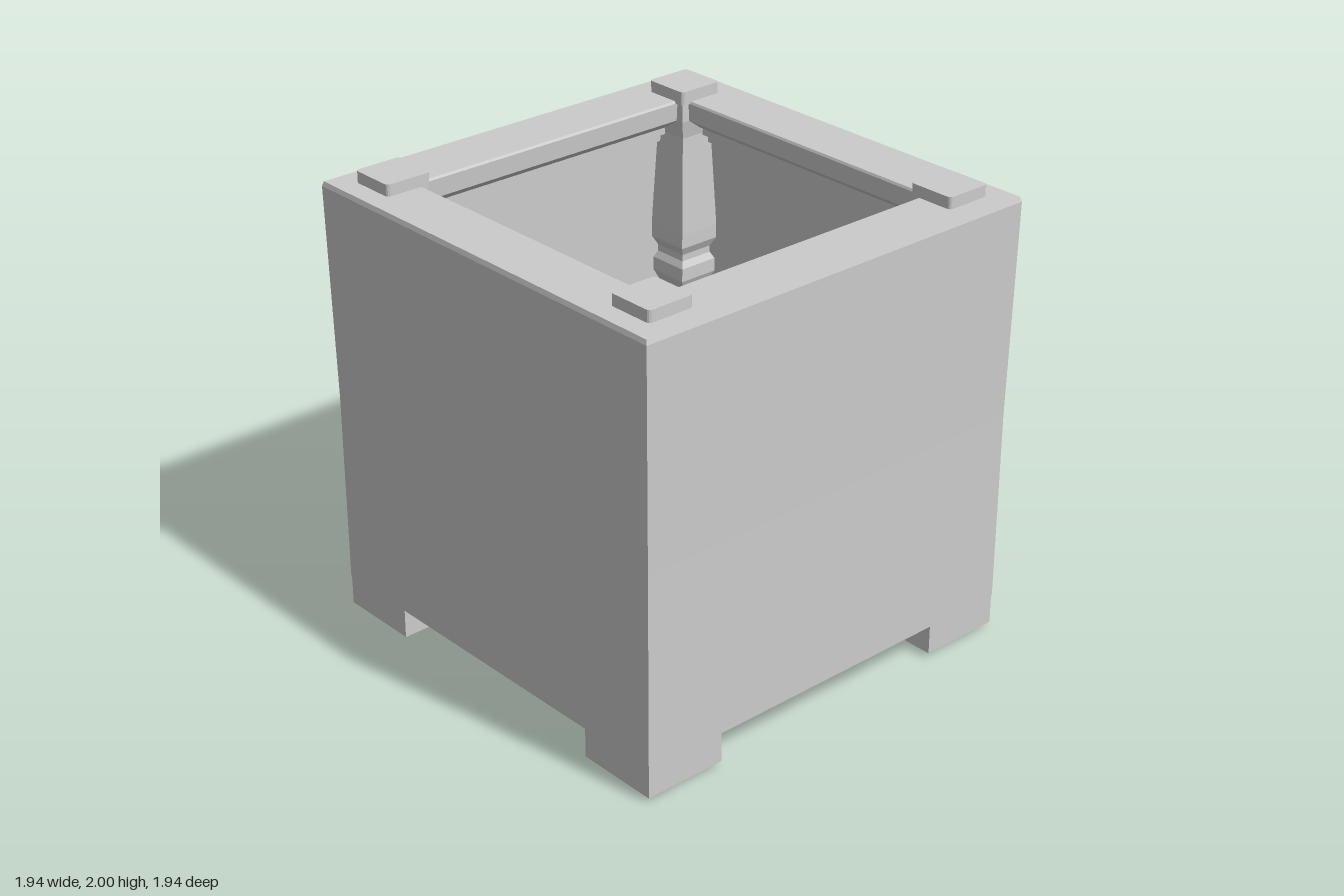
import * as THREE from 'three';

const material = new THREE.MeshStandardMaterial({ color: 0xcccccc, flatShading: true });

// Square-section solid from a profile of [half width, height] points
function squareLathe(profile, name) {
  const points = profile.map(([half, y]) => new THREE.Vector2(half * Math.SQRT2, y));
  const geometry = new THREE.LatheGeometry(points, 4, Math.PI / 4).toNonIndexed();
  geometry.computeVertexNormals();
  const mesh = new THREE.Mesh(geometry, material);
  mesh.name = name;
  return mesh;
}

// Flat cap with slightly rounded corners
function makeCap() {
  const h = 0.105, r = 0.02;
  const shape = new THREE.Shape();
  shape.moveTo(-h + r, -h);
  shape.lineTo(h - r, -h);
  shape.quadraticCurveTo(h, -h, h, -h + r);
  shape.lineTo(h, h - r);
  shape.quadraticCurveTo(h, h, h - r, h);
  shape.lineTo(-h + r, h);
  shape.quadraticCurveTo(-h, h, -h, h - r);
  shape.lineTo(-h, -h + r);
  shape.quadraticCurveTo(-h, -h, -h + r, -h);
  const geometry = new THREE.ExtrudeGeometry(shape, { depth: 0.06, bevelEnabled: false, curveSegments: 4 });
  geometry.rotateX(-Math.PI / 2);
  const mesh = new THREE.Mesh(geometry, material);
  mesh.name = 'cap';
  mesh.position.y = 1.94;
  return mesh;
}

export function createModel() {
  const model = new THREE.Group();
  model.name = 'planter';

  // Four walls with a broad top rim and stepped moulding beneath it, open below
  model.add(squareLathe([
    [0.955, 0.15], [0.955, 1.0], [0.968, 1.93], [0.962, 1.95],
    [0.71, 1.95], [0.705, 1.94], [0.71, 1.86], [0.78, 1.81],
    [0.80, 1.81], [0.80, 1.77], [0.83, 1.77], [0.83, 1.73],
    [0.865, 1.73], [0.865, 0.15], [0.955, 0.15],
  ], 'wallsAndRim'));

  // Corner assemblies: foot, turned square post and cap
  for (const sx of [-1, 1]) {
    for (const sz of [-1, 1]) {
      const corner = new THREE.Group();
      corner.name = (sz > 0 ? 'front' : 'back') + (sx > 0 ? 'Left' : 'Right') + 'Corner';
      corner.position.set(sx * 0.767, 0, sz * 0.767);

      corner.add(squareLathe([
        [0, 0], [0.15, 0.005], [0.186, 0.02], [0.186, 0.15],
        [0.18, 0.16], [0.11, 0.2], [0, 0.2],
      ], 'foot'));

      corner.add(squareLathe([
        [0.105, 0.18], [0.105, 0.28], [0.075, 0.32], [0.078, 1.08],
        [0.095, 1.12], [0.095, 1.18], [0.08, 1.21], [0.08, 1.24],
        [0.1, 1.28], [0.1, 1.34], [0.08, 1.78], [0.095, 1.86], [0.095, 1.95],
      ], 'post'));

      corner.add(makeCap());
      model.add(corner);
    }
  }
  return model;
}
